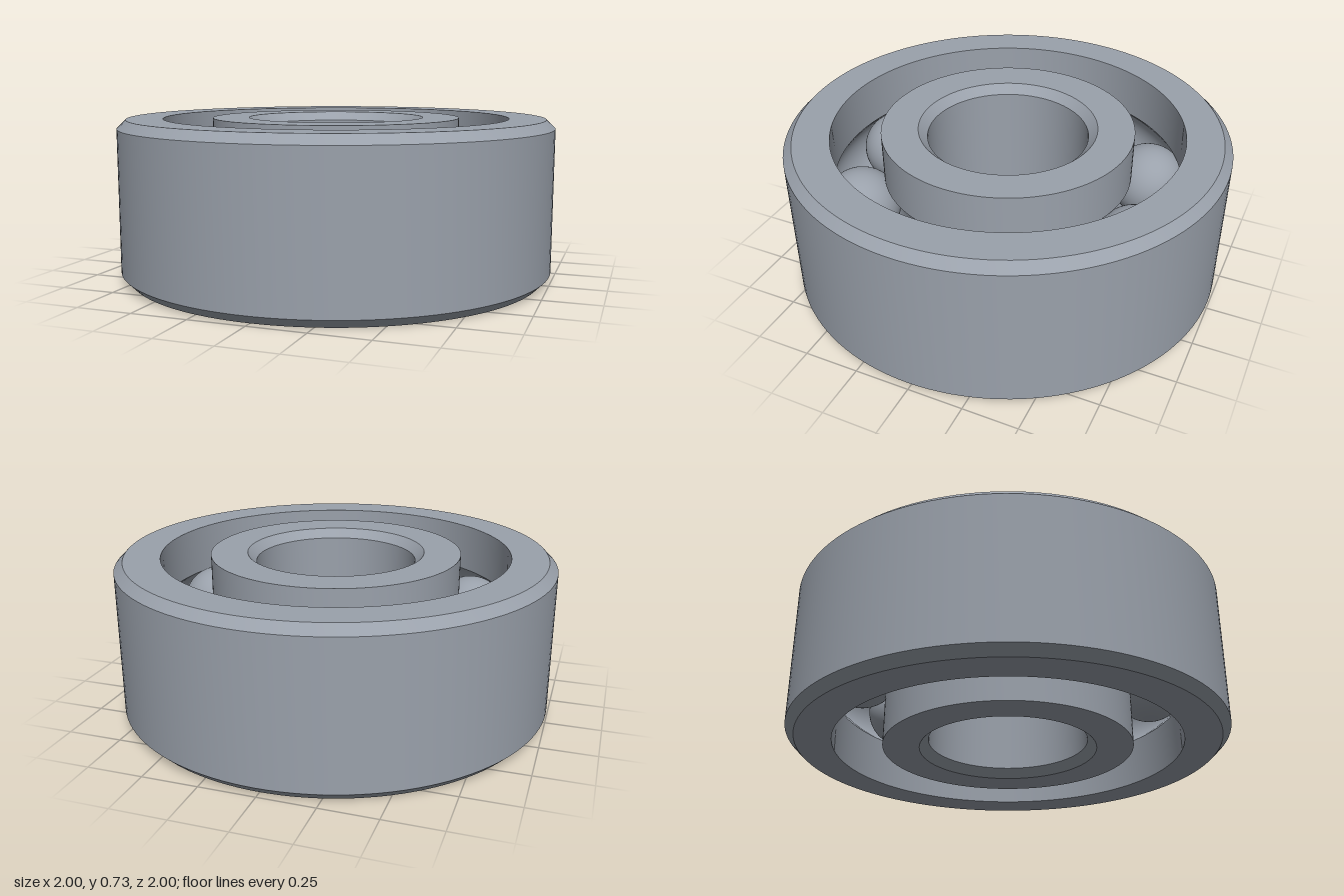
import * as THREE from 'three';
import { toCreasedNormals } from 'three/addons/utils/BufferGeometryUtils.js';

const H = 0.727;         // width of the bearing
const CHAMFER = 0.04;
const PITCH = 0.682;     // radius of the ball circle
const BALL = 0.176;
const GROOVE = 0.179;    // radius of the raceway groove
const BALLS = 8;

// Groove points on the pitch circle's cross-section, between two angles
function groove(from, to, steps = 16) {
  return Array.from({ length: steps + 1 }, (_, i) => {
    const a = from + (to - from) * i / steps;
    return [PITCH + GROOVE * Math.cos(a), H / 2 + GROOVE * Math.sin(a)];
  });
}

// Revolve a closed profile (counter-clockwise in radius, height)
function ring(name, profile, material) {
  const points = [...profile, profile[0]].map(([r, y]) => new THREE.Vector2(r, y));
  const geometry = toCreasedNormals(new THREE.LatheGeometry(points, 128), 0.5);
  const mesh = new THREE.Mesh(geometry, material);
  mesh.name = name;
  return mesh;
}

export function createModel() {
  const model = new THREE.Group();
  model.name = 'ballBearing';
  const steel = new THREE.MeshStandardMaterial({ color: 0x9aa1ab });
  steel.name = 'steel';

  // Outer race: chamfered outside, grooved inside
  const outerBore = 0.795;
  const a = Math.acos((outerBore - PITCH) / GROOVE);
  model.add(ring('outerRace', [
    [1 - CHAMFER, 0], [1, CHAMFER], [1, H - CHAMFER], [1 - CHAMFER, H],
    [outerBore, H], ...groove(a, -a), [outerBore, 0],
  ], steel));

  // Inner race: grooved outside, chamfered bore
  const innerRim = 0.57, bore = 0.364;
  const b = Math.acos((PITCH - innerRim) / GROOVE);
  model.add(ring('innerRace', [
    [innerRim, 0], ...groove(Math.PI + b, Math.PI - b), [innerRim, H],
    [bore + CHAMFER, H], [bore, H - CHAMFER], [bore, CHAMFER], [bore + CHAMFER, 0],
  ], steel));

  // Balls spaced evenly between the races
  const balls = new THREE.Group();
  balls.name = 'balls';
  const ballGeometry = new THREE.SphereGeometry(BALL, 48, 32);
  for (let i = 0; i < BALLS; i++) {
    const angle = THREE.MathUtils.degToRad(11.9) + i * 2 * Math.PI / BALLS;
    const ball = new THREE.Mesh(ballGeometry, steel);
    ball.name = 'ball';
    ball.position.set(PITCH * Math.cos(angle), H / 2, PITCH * Math.sin(angle));
    balls.add(ball);
  }
  model.add(balls);
  return model;
}
